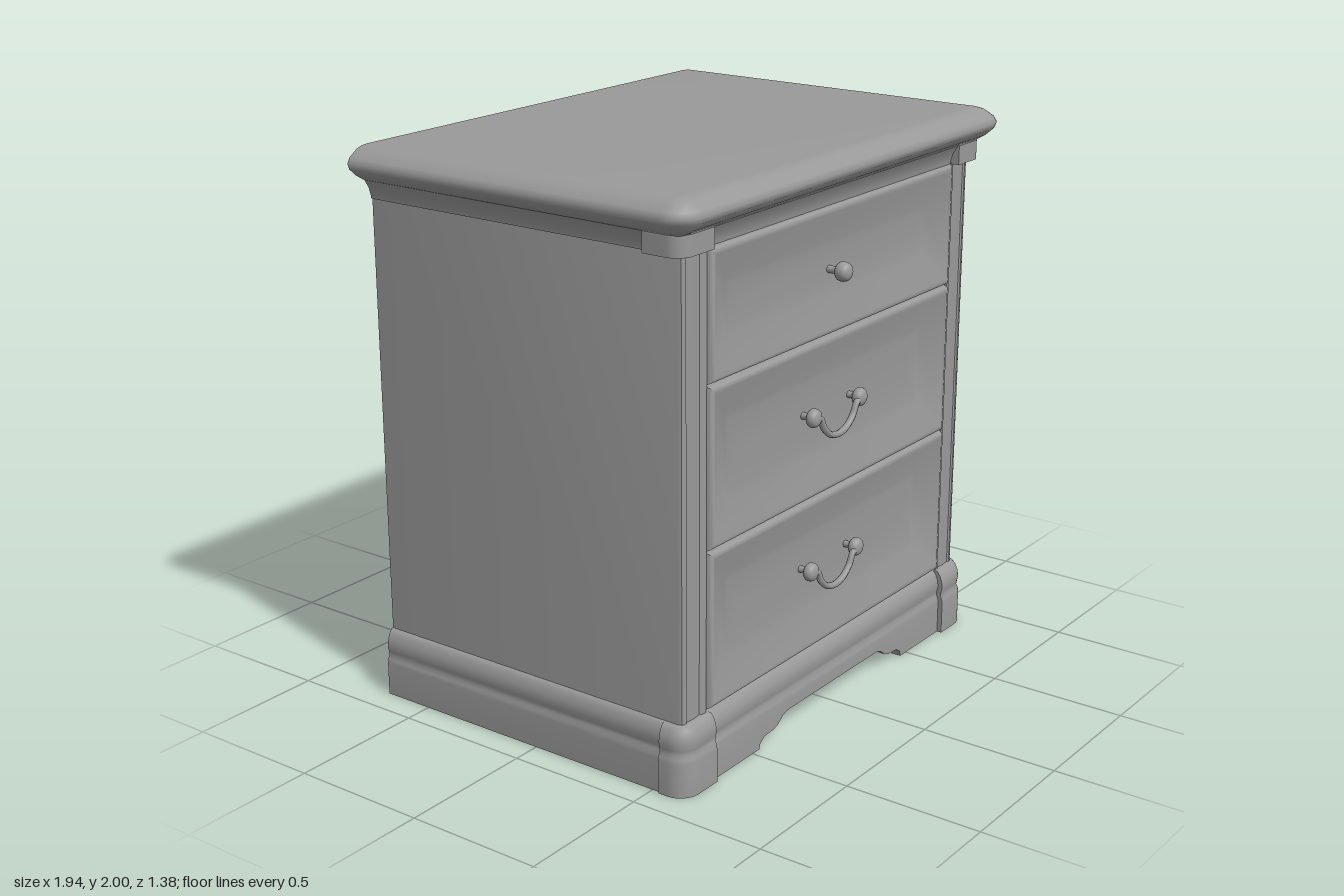
import * as THREE from 'three';
import { toCreasedNormals } from 'three/addons/utils/BufferGeometryUtils.js';

const BACK = -0.69;
const material = new THREE.MeshStandardMaterial({ color: 0x999999 });

function add(parent, name, geometry, x = 0, y = 0, z = 0) {
  const mesh = new THREE.Mesh(geometry, material);
  mesh.name = name;
  mesh.position.set(x, y, z);
  parent.add(mesh);
  return mesh;
}

// Skin over rows of [x, y, z] points
function skin(rows, closed) {
  const n = rows[0].length, index = [];
  for (let r = 0; r < rows.length - 1; r++) {
    for (let i = 0; i < (closed ? n : n - 1); i++) {
      const j = (i + 1) % n;
      const a = r * n + i, b = r * n + j, c = a + n, d = b + n;
      index.push(a, c, b, c, d, b);
    }
  }
  const g = new THREE.BufferGeometry();
  g.setAttribute('position', new THREE.Float32BufferAttribute(rows.flat(2), 3));
  g.setIndex(index);
  return toCreasedNormals(g, 1.0);
}

// Plan path: back, along the left side, round the front corners, to the right side
function planPath(w, f, r, blocks) {
  const half = [{ x: w, z: BACK, nx: 1, nz: 0, d: 0 }];
  for (let i = 0; i <= 8; i++) {
    const a = (i / 8) * Math.PI / 2, nx = Math.cos(a), nz = Math.sin(a);
    half.push({ x: w - r + r * nx, z: f - r + r * nz, nx, nz, d: 0 });
  }
  // Corner blocks: the runs beside them step in by d; stations give the lower edge
  if (blocks) {
    const { x, z, side, front, stations } = blocks;
    half[0].d = side;
    half.splice(1, 0, { x: w, z, nx: 1, nz: 0, d: side }, { x: w, z, nx: 1, nz: 0, d: 0 });
    half.push({ x, z: f, nx: 0, nz: 1, d: 0 });
    for (const [sx, low] of [[x, 0], ...stations]) half.push({ x: sx, z: f, nx: 0, nz: 1, d: front, low });
  }
  const mirrored = half.map(p => ({ ...p, x: -p.x, nx: -p.nx })).reverse();
  return [...half, ...mirrored];
}

// Sweep a profile of [offset, y] along a plan path
function sweep(path, profile, inner = -1) {
  return profile.map(([o, y]) => path.map(p => {
    const off = Math.max(o - p.d, inner);
    return [p.x + p.nx * off, Math.max(y, p.low || 0), p.z + p.nz * off];
  }));
}

// Closed slab: swept edge with flat top, bottom and back
function slab(path, profile) {
  const cap = y => path.map(() => [0, y, BACK]);
  return skin([cap(profile[0][1]), ...sweep(path, profile), cap(profile.at(-1)[1])], true);
}

// Vertical prism from plan points [x, z]
function prism(points, height) {
  const plan = new THREE.Shape(points.map(([x, z]) => new THREE.Vector2(x, -z)));
  const g = new THREE.ExtrudeGeometry(plan, { depth: height, bevelEnabled: false });
  return toCreasedNormals(g.rotateX(-Math.PI / 2), 0.6);
}

// Drawer front: raised lip sloping in to a sunken panel
function drawerFront(w, h) {
  const steps = [[0, 0.53], [0, 0.598], [0.006, 0.61], [0.016, 0.615], [0.026, 0.612],
    [0.13, 0.572], [0.155, 0.567]];
  const ring = (a, b, z) => [[-a, -b, z], [-a, b, z], [a, b, z], [a, -b, z]];
  const rows = steps.map(([s, z]) => ring(w / 2 - s, h / 2 - s, z));
  rows.push(ring(w / 2 - 0.22, 0, 0.566));
  return skin(rows, true);
}

// Round knob on a short stem, pointing forward
function knob(radius, length) {
  const pts = [[0.4, 0], [0.4, 0.4], [0.8, 0.48], [1, 0.62], [0.93, 0.82], [0.6, 0.95], [0, 1]]
    .map(([x, y]) => new THREE.Vector2(x * radius, y * length));
  return new THREE.LatheGeometry(new THREE.SplineCurve(pts).getPoints(18).map(p => p.setX(Math.max(0, p.x))), 20)
    .rotateX(Math.PI / 2);
}

function bailHandle(y) {
  const g = new THREE.Group();
  g.name = 'bailHandle';
  for (const s of [-1, 1]) add(g, 'handleKnob', knob(0.033, 0.075), s * 0.143, y, 0.56);
  const curve = new THREE.CatmullRomCurve3([[-0.143, 0], [-0.115, -0.008], [-0.09, -0.05], [-0.05, -0.082],
    [0, -0.093], [0.05, -0.082], [0.09, -0.05], [0.115, -0.008], [0.143, 0]]
    .map(([x, dy]) => new THREE.Vector3(x, y + dy, 0.619)));
  add(g, 'handleBail', new THREE.TubeGeometry(curve, 40, 0.012, 8));
  return g;
}

export function createModel() {
  const model = new THREE.Group();
  model.name = 'nightstand';

  // Carcass with shallow panelled front pilasters, reaching down inside the plinth
  const edge = [[0.865, BACK], [0.865, 0.58], [0.86, 0.592], [0.85, 0.597], [0.842, 0.597], [0.836, 0.592],
    [0.8, 0.595], [0.766, 0.592], [0.758, 0.598], [0.739, 0.6], [0.739, 0.54]];
  add(model, 'carcass', prism([...edge, ...edge.map(([x, z]) => [-x, z]).reverse()], 1.64), 0, 0.18, 0);

  // Table top with rounded moulded edge
  add(model, 'tableTop', slab(planPath(0.972, 0.69, 0.1),
    [[-0.1, 1.88], [-0.07, 1.882], [-0.035, 1.903], [-0.007, 1.928], [0, 1.948], [-0.01, 1.966],
      [-0.045, 1.99], [-0.07, 1.998], [-0.1, 2]]));

  // Cove moulding under the top, with a rounded block at each front corner
  add(model, 'coveMoulding', slab(planPath(0.9, 0.625, 0.06),
    [[-0.03, 1.812], [-0.028, 1.825], [-0.02, 1.852], [0, 1.883]]));
  const block = [[0.74, 0.48], [0.91, 0.48]];
  for (let i = 0; i <= 8; i++) {
    const a = (i / 8) * Math.PI / 2;
    block.push([0.85 + 0.06 * Math.cos(a), 0.57 + 0.06 * Math.sin(a)]);
  }
  block.push([0.74, 0.63]);
  for (const s of [-1, 1]) add(model, 'cornerBlock', prism(block.map(([x, z]) => [s * x, z]), 0.07), 0, 1.814, 0);

  // Plinth with corner blocks and a shaped cut-out under the front
  const basePath = planPath(0.907, 0.64, 0.075, {
    x: 0.73, z: 0.53, side: 0.008, front: 0.018,
    stations: [[0.46, 0], [0.455, 0.02], [0.43, 0.037], [0.375, 0.04], [0.35, 0.048], [0.32, 0.07],
      [0.3, 0.077], [0.28, 0.08]]
  });
  const end = p => ({ ...p, d: 1 }); // closes the back end of the plinth
  const inner = -0.055;
  add(model, 'plinth', skin(sweep([end(basePath[0]), ...basePath, end(basePath.at(-1))],
    [[inner, 0], [0, 0], [0, 0.12], [-0.002, 0.135], [-0.009, 0.15], [-0.007, 0.165], [-0.003, 0.185],
      [-0.006, 0.21], [-0.015, 0.232], [-0.026, 0.246], [inner, 0.246], [inner, 0]], inner), false));

  // Drawers, bottom to top
  const drawers = [[0.255, 0.807], [0.813, 1.366], [1.372, 1.814]];
  drawers.forEach(([y0, y1], i) => {
    add(model, 'drawerFront', drawerFront(1.472, y1 - y0), 0, (y0 + y1) / 2, 0);
    if (i < 2) model.add(bailHandle(i ? 1.102 : 0.543));
  });
  add(model, 'drawerKnob', knob(0.034, 0.095), 0, 1.582, 0.56);

  return model;
}
